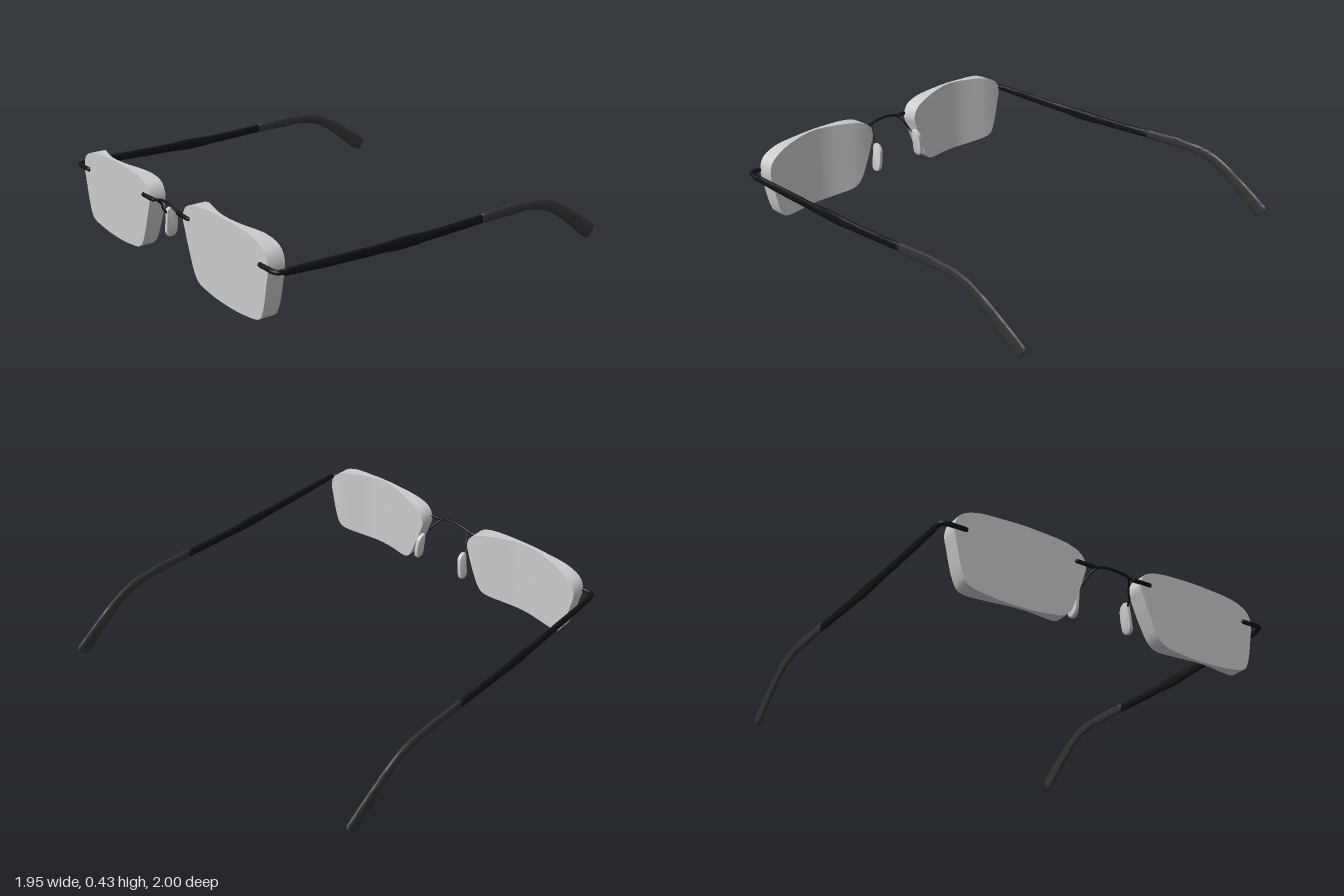
import * as THREE from 'three';
import { toCreasedNormals } from 'three/addons/utils/BufferGeometryUtils.js';

const V = (x, y, z) => new THREE.Vector3(x, y, z);
const mat = (color) => new THREE.MeshStandardMaterial({ color });

// Skin through rings of points (counter-clockwise seen from +z, running front to back)
function loft(rings, side, crease = 0.6) {
  if (side < 0) rings = rings.map((r) => r.map((p) => V(-p.x, p.y, p.z)).reverse());
  const n = rings[0].length, pts = [];
  for (let i = 0; i < rings.length - 1; i++) {
    for (let j = 0; j < n; j++) {
      const k = (j + 1) % n;
      const a = rings[i][j], b = rings[i][k], c = rings[i + 1][j], d = rings[i + 1][k];
      if (!c.equals(d)) pts.push(a, c, d);
      if (!a.equals(b)) pts.push(a, d, b);
    }
  }
  return toCreasedNormals(new THREE.BufferGeometry().setFromPoints(pts), crease);
}

// Lens: flat front, back hollowed across its width
function lensGeometry(side) {
  const outline = new THREE.CatmullRomCurve3([
    [0.875, 0.31], [0.852, 0.37], [0.775, 0.41], [0.62, 0.427], [0.46, 0.431], [0.25, 0.413],
    [0.183, 0.38], [0.161, 0.32], [0.175, 0.27], [0.215, 0.157], [0.257, 0.063], [0.29, 0.033],
    [0.4, 0.012], [0.54, 0.005], [0.68, 0.012], [0.803, 0.038], [0.828, 0.08], [0.864, 0.235],
  ].map(([x, y]) => V(x, y, 0)), true).getSpacedPoints(96).slice(0, 96);
  const cx = 0.525, cy = 0.22;
  const backZ = (x) => 0.966 - 0.036 * (1 - Math.cos((Math.PI * (x - cx)) / 0.36));
  const ring = (s, z) => outline.map((p) => {
    const x = cx + (p.x - cx) * s;
    return V(x, cy + (p.y - cy) * s, z ?? backZ(x));
  });
  const rings = [ring(0, 0.985), ring(1, 0.985)];
  for (let i = 10; i >= 0; i--) rings.push(ring(i / 10));
  return loft(rings, side);
}

// Arm piece: rounded sections along stations [x, y, z, height, width]
function armGeometry(stations, side, steps) {
  const path = new THREE.CatmullRomCurve3(stations.map((s) => V(s[0], s[1], s[2])));
  const size = new THREE.CatmullRomCurve3(stations.map((s) => V(s[3], s[4], 0)));
  const ring = (t, k, push = 0) => {
    const p = path.getPoint(t), s = size.getPoint(t), d = path.getTangent(t);
    const up = V(0, -d.z, d.y).normalize();
    p.addScaledVector(d, push);
    return Array.from({ length: 20 }, (_, j) => {
      const a = (j / 20) * Math.PI * 2, c = Math.cos(a), q = Math.sin(a);
      const round = (v) => Math.sign(v) * Math.pow(Math.abs(v), 0.7);
      return V(p.x, p.y, p.z).addScaledVector(up, (round(q) * s.x * k) / 2)
        .add(V((round(c) * s.y * k) / 2, 0, 0));
    });
  };
  const rings = [ring(0, 0), ring(0, 0.8), ring(0, 1, 0.006)];
  for (let i = 1; i < steps; i++) rings.push(ring(i / steps, 1));
  rings.push(ring(1, 1, -0.012), ring(1, 0.85), ring(1, 0));
  return loft(rings, side, 0.8);
}

// Nose pad: thin rounded leaf, wider toward the back
function padGeometry() {
  const s = new THREE.Shape();
  s.moveTo(-0.024, 0.06);
  s.bezierCurveTo(-0.024, 0.085, 0.015, 0.08, 0.026, 0.05);
  s.bezierCurveTo(0.032, 0.02, 0.032, -0.02, 0.027, -0.055);
  s.bezierCurveTo(0.018, -0.082, -0.024, -0.085, -0.025, -0.05);
  s.closePath();
  const g = new THREE.ExtrudeGeometry(s, {
    depth: 0.006, bevelSize: 0.006, bevelThickness: 0.008, bevelSegments: 4, curveSegments: 10,
  });
  g.translate(0, 0, -0.003);
  g.rotateY(Math.PI / 2);
  return toCreasedNormals(g, 0.8);
}

export function createModel() {
  const model = new THREE.Group();
  const black = mat(0x111111), dark = mat(0x333333), grey = mat(0xcccccc);

  const add = (name, geometry, material, parent = model) => {
    const m = new THREE.Mesh(geometry, material);
    m.name = name;
    parent.add(m);
    return m;
  };

  // Wire with rounded ends
  const wire = (name, points, radius, parent) => {
    const g = new THREE.Group();
    g.name = name;
    parent.add(g);
    const curve = new THREE.CatmullRomCurve3(points);
    add(name + 'Rod', new THREE.TubeGeometry(curve, 32, radius, 12), black, g);
    for (const p of [points[0], points[points.length - 1]]) {
      add(name + 'End', new THREE.SphereGeometry(radius, 12, 8), black, g).position.copy(p);
    }
  };

  for (const side of [1, -1]) {
    const half = new THREE.Group();
    half.name = side > 0 ? 'leftHalf' : 'rightHalf';
    model.add(half);
    const P = (x, y, z) => V(side * x, y, z);

    add('lens', lensGeometry(side), grey, half);

    // Lens mounts: hooked outer endpiece and inner bridge clamp
    wire('endpiece', [P(0.82, 0.306, 0.988), P(0.87, 0.306, 0.988), P(0.915, 0.306, 0.987),
      P(0.936, 0.306, 0.977), P(0.944, 0.304, 0.95), P(0.945, 0.302, 0.92)], 0.012, half);
    wire('bridgeClamp', [P(0.215, 0.335, 0.988), P(0.165, 0.335, 0.988), P(0.12, 0.335, 0.986)], 0.011, half);

    // Temple arm and its drooping tip
    add('temple', armGeometry([
      [0.944, 0.302, 0.95, 0.032, 0.02], [0.948, 0.295, 0.75, 0.042, 0.021],
      [0.954, 0.286, 0.4, 0.046, 0.022], [0.957, 0.284, 0.15, 0.046, 0.022],
      [0.961, 0.292, -0.195, 0.044, 0.022],
    ], side, 24), black, half);
    add('templeTip', armGeometry([
      [0.961, 0.294, -0.195, 0.05, 0.023], [0.962, 0.297, -0.36, 0.054, 0.023],
      [0.963, 0.294, -0.52, 0.054, 0.023], [0.964, 0.272, -0.63, 0.058, 0.023],
      [0.965, 0.222, -0.73, 0.064, 0.023], [0.965, 0.148, -0.84, 0.073, 0.023],
      [0.965, 0.085, -0.925, 0.084, 0.023], [0.965, 0.046, -0.982, 0.082, 0.023],
    ], side, 36), dark, half);

    // Nose pad on its bent wire
    wire('padArm', [P(0.09, 0.341, 0.985), P(0.108, 0.325, 0.965), P(0.125, 0.295, 0.935),
      P(0.138, 0.268, 0.925), P(0.146, 0.24, 0.9), P(0.15, 0.215, 0.885)], 0.005, half);
    const pad = add('nosePad', padGeometry(), grey, half);
    pad.position.set(side * 0.155, 0.185, 0.873);
    pad.rotation.z = side * 0.11;
  }

  // Arched bridge between the lenses
  wire('bridge', [V(-0.14, 0.335, 0.986), V(-0.1, 0.34, 0.985), V(-0.05, 0.352, 0.984), V(0, 0.356, 0.984),
    V(0.05, 0.352, 0.984), V(0.1, 0.34, 0.985), V(0.14, 0.335, 0.986)], 0.007, model);

  return model;
}
